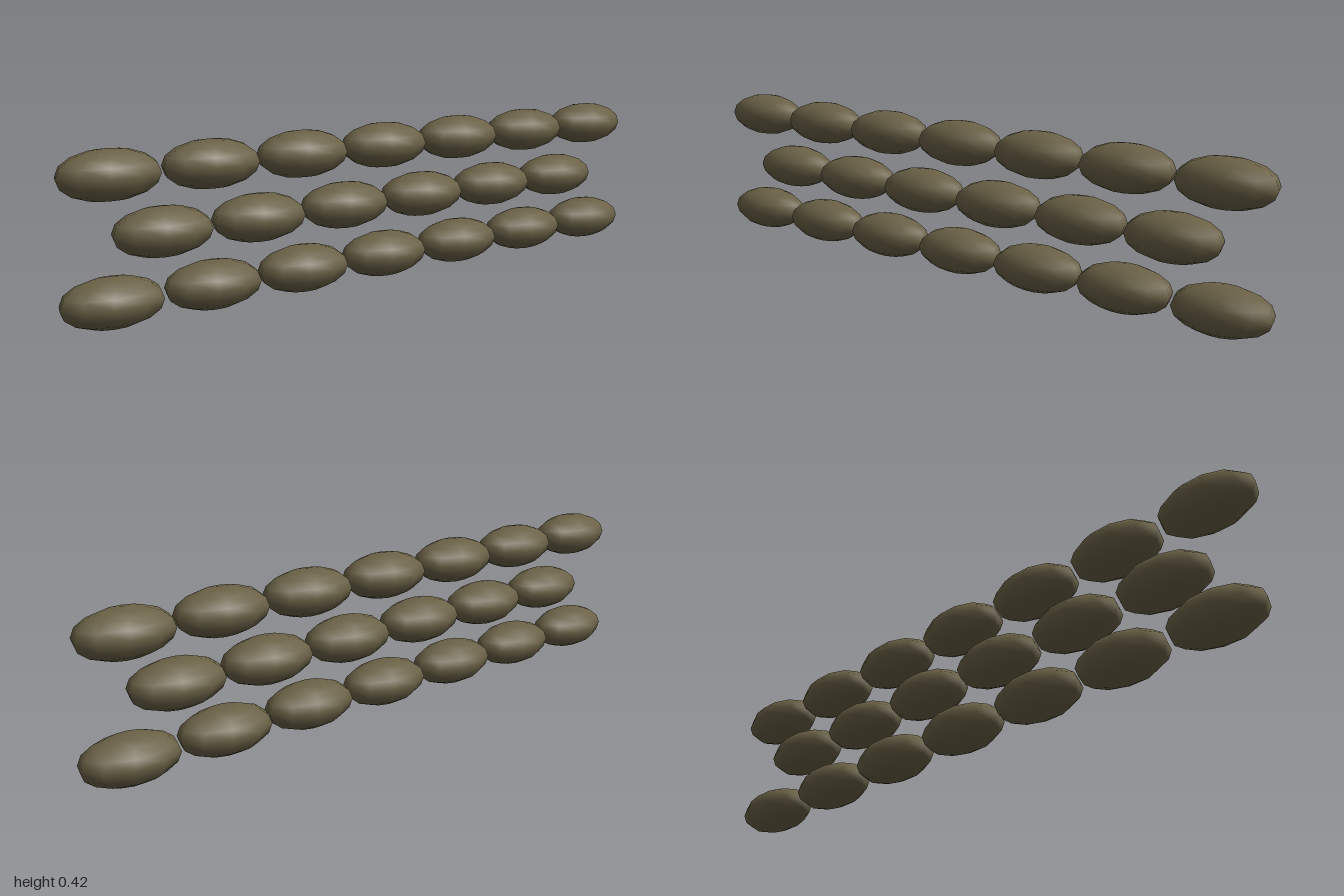
import * as THREE from 'three';

export function createModel() {
  const wall = new THREE.Group();
  wall.name = 'sandbagWall';

  const burlap = new THREE.MeshStandardMaterial({ color: 0x6a6146 });
  burlap.name = 'burlap';

  // One bag: a coarse smooth sphere squashed into a long ellipsoid
  const bagShape = new THREE.SphereGeometry(1, 10, 8);
  bagShape.scale(0.138, 0.061, 0.083);

  // Three courses in running bond: seven, six and seven bags
  const spacing = 0.287;
  const courses = [
    { name: 'bottomCourse', y: 0.061, count: 7 },
    { name: 'middleCourse', y: 0.21, count: 6 },
    { name: 'topCourse', y: 0.358, count: 7 },
  ];
  for (const { name, y, count } of courses) {
    const course = new THREE.Group();
    course.name = name;
    course.position.y = y;
    for (let i = 0; i < count; i++) {
      const bag = new THREE.Mesh(bagShape, burlap);
      bag.name = 'sandbag';
      bag.position.x = (i - (count - 1) / 2) * spacing;
      course.add(bag);
    }
    wall.add(course);
  }
  return wall;
}
